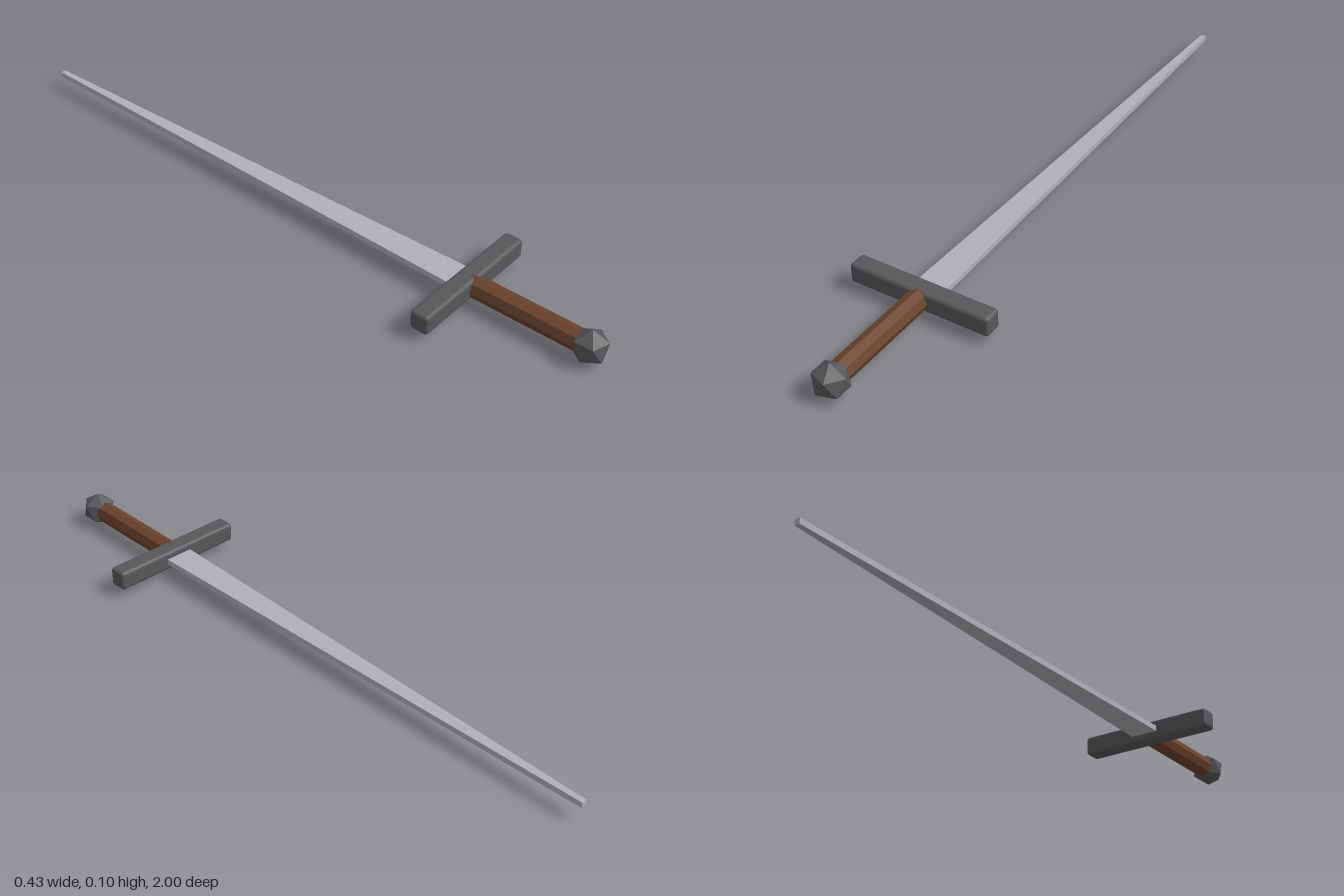
import * as THREE from 'three';
import { RoundedBoxGeometry } from 'three/addons/geometries/RoundedBoxGeometry.js';
import { ConvexGeometry } from 'three/addons/geometries/ConvexGeometry.js';

const AXIS_Y = 0.056; // height of the sword's long axis

function material(color) {
  return new THREE.MeshStandardMaterial({ color, flatShading: true });
}

export function createModel() {
  const sword = new THREE.Group();
  sword.name = 'sword';
  const steel = material(0xb0b1b6);
  const iron = material(0x58585b);
  const wood = material(0x6b432c);

  const add = (name, geometry, mat, z) => {
    const mesh = new THREE.Mesh(geometry, mat);
    mesh.name = name;
    mesh.position.set(0, AXIS_Y, z);
    sword.add(mesh);
  };

  // Blade: flat bar whose width narrows steadily towards the tip
  const tipZ = -1, rootZ = 0.57, length = rootZ - tipZ;
  const blade = new THREE.BoxGeometry(2, 0.017, length);
  const pos = blade.attributes.position;
  for (let i = 0; i < pos.count; i++) {
    const t = pos.getZ(i) / length + 0.5;
    pos.setX(i, pos.getX(i) * THREE.MathUtils.lerp(0.008, 0.044, t));
  }
  blade.computeVertexNormals();
  add('blade', blade, steel, (tipZ + rootZ) / 2);

  // Crossguard: bar with softened edges
  add('crossguard', new RoundedBoxGeometry(0.432, 0.06, 0.057, 2, 0.011), iron, 0.579);

  // Grip: octagonal rod with a ridge on top
  const grip = new THREE.CylinderGeometry(0.032, 0.032, 0.35, 8);
  grip.rotateX(Math.PI / 2);
  add('grip', grip, wood, 0.765);

  // Pommel: icosahedron standing on a corner, from two staggered rings and two poles
  const r = 0.0525;
  const points = [new THREE.Vector3(0, r, 0), new THREE.Vector3(0, -r, 0)];
  for (let i = 0; i < 10; i++) {
    const a = (i * Math.PI) / 5;
    const side = i % 2 ? -1 : 1;
    const ring = (2 * r) / Math.sqrt(5);
    points.push(new THREE.Vector3(ring * Math.cos(a), (side * ring) / 2, ring * Math.sin(a)));
  }
  add('pommel', new ConvexGeometry(points), iron, 0.955);

  return sword;
}
